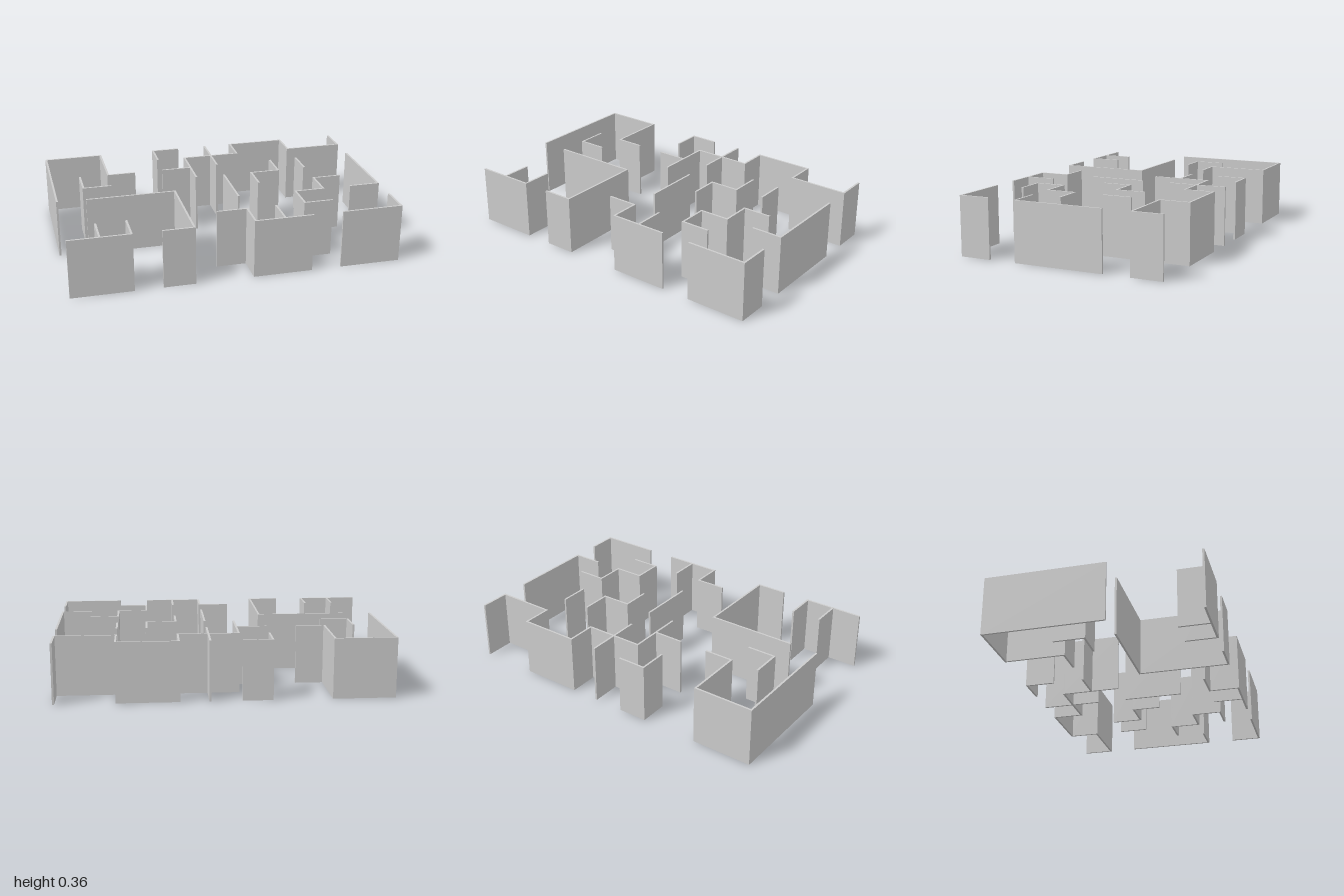
import * as THREE from 'three';

const CELL = 0.1807, THICK = 0.012, HEIGHT = 0.3615;
const COLS = 11, ROWS = 7;

// Walls running along x: [row, from column, to column]
const ACROSS = [
  [0, 0, 2], [0, 4, 5], [0, 7, 9],
  [1, 5, 7], [1, 9, 11],
  [2, 2, 3], [2, 4, 5],
  [3, 1, 2], [3, 7, 8],
  [4, 1, 4], [4, 9, 10],
  [5, 8, 9], [5, 10, 11],
  [6, 5, 6], [6, 8, 9],
  [7, 0, 2], [7, 3, 4], [7, 6, 8], [7, 9, 11],
];

// Walls running along z: [column, from row, to row]
const ALONG = [
  [0, 0, 4], [1, 2, 3], [1, 6, 7], [2, 0, 2], [2, 6, 7],
  [4, 0, 1], [4, 4, 7], [5, 1, 3],
  [6, 0, 2], [6, 3, 5], [6, 6, 7],
  [7, 0, 1], [7, 3, 4], [7, 6, 7],
  [8, 2, 3], [8, 5, 6],
  [9, 0, 1], [9, 2, 3], [9, 4, 5],
  [11, 0, 1], [11, 2, 5], [11, 6, 7],
];

const nodeX = (i) => (i - COLS / 2) * CELL;
const nodeZ = (j) => (j - ROWS / 2) * CELL;

// True when a crossing wall passes through the end node, so the corner is filled
const meets = (others, line, end) =>
  others.some(([l, a, b]) => l === end && a <= line && line <= b);

export function createModel() {
  const maze = new THREE.Group();
  maze.name = 'mazeWalls';
  const material = new THREE.MeshStandardMaterial({ color: 0xcccccc });

  function addWalls(walls, others, alongX) {
    const pos = alongX ? nodeX : nodeZ;
    const lineAt = alongX ? nodeZ : nodeX;
    for (const [line, a, b] of walls) {
      const start = pos(a) - THICK / 2;
      const end = pos(b) + (meets(others, line, b) ? THICK / 2 : -THICK / 2);
      const length = end - start, mid = (start + end) / 2;
      const geometry = alongX
        ? new THREE.BoxGeometry(length, HEIGHT, THICK)
        : new THREE.BoxGeometry(THICK, HEIGHT, length);
      const wall = new THREE.Mesh(geometry, material);
      wall.name = alongX ? 'crossWall' : 'lengthWall';
      if (alongX) wall.position.set(mid, HEIGHT / 2, lineAt(line));
      else wall.position.set(lineAt(line), HEIGHT / 2, mid);
      maze.add(wall);
    }
  }

  addWalls(ACROSS, ALONG, true);
  addWalls(ALONG, ACROSS, false);
  return maze;
}
